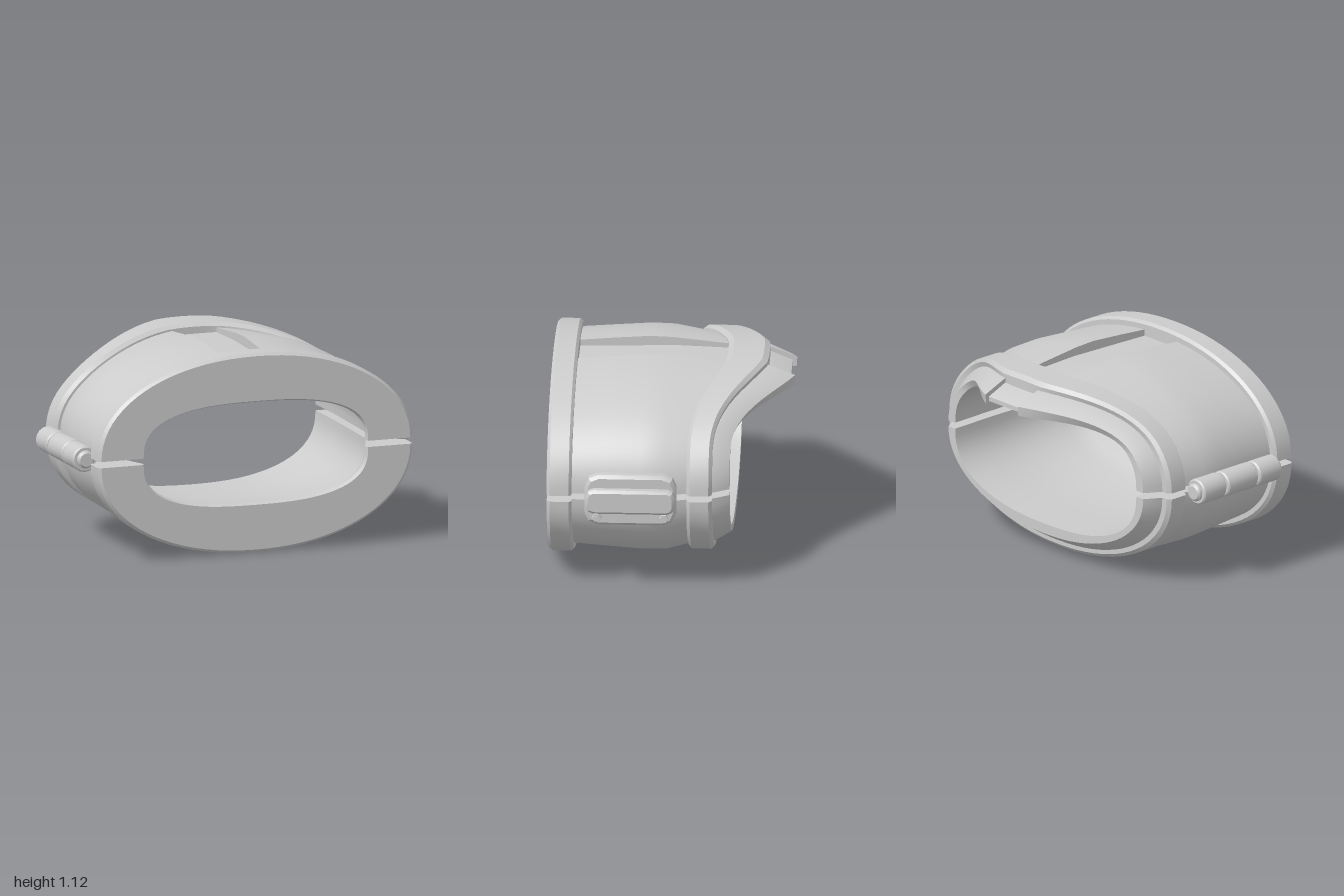
import * as THREE from 'three';
import { toCreasedNormals } from 'three/addons/utils/BufferGeometryUtils.js';

const CX = 0.013;          // centre line of the oval shells
const STRIP = 0.13;        // half width of the sunken top strip
const OUT = 2.1, IN = 2.7; // roundness of the outer and inner ovals
const mat = new THREE.MeshStandardMaterial({ color: 0xcccccc });

function add(group, name, geo, x = 0, y = 0, z = 0) {
  const mesh = new THREE.Mesh(toCreasedNormals(geo, 0.5), mat);
  mesh.name = name;
  mesh.position.set(x, y, z);
  group.add(mesh);
}

// How far the crest sweeps backwards at the top centre, for a given depth z
function sweepAmount(z) {
  if (z >= 0) return 0;
  if (z > -0.1) return -z * 1.9;
  return 0.19 + (-0.1 - z) * 0.635;
}

// Sweeps a closed profile of [rx, ry, z, roundness] around half an oval.
// up: 1 upper half, -1 lower half. side: 0 whole half, 1 or -1 one quarter
// that stops beside the strip.
function ovalSweep(profile, up, side = 0) {
  const segs = side ? 20 : 40, n = profile.length, pos = [], idx = [];
  const base = up > 0 ? 0.58 : 0.545;
  for (let j = 0; j <= segs; j++) {
    for (const [rx, ry, z, e] of profile) {
      const end = side ? Math.acos(Math.pow(STRIP / rx, e / 2)) : Math.PI;
      const a = end * j / segs, c = Math.cos(a);
      const u = Math.sign(c) * Math.pow(Math.abs(c), 2 / e);
      const v = Math.pow(Math.max(0, Math.sin(a)), 2 / e);
      const d = Math.min(1, (1 - THREE.MathUtils.smoothstep(Math.abs(u) * 0.9, 0, 0.82)) / 0.93);
      pos.push(CX + rx * u * (side || 1), base + up * ry * v,
        z - (up > 0 ? sweepAmount(z) * d : 0));
    }
  }
  const flip = up * (side || 1) < 0;
  const tri = (a, b, c) => flip ? idx.push(a, c, b) : idx.push(a, b, c);
  for (let j = 0; j < segs; j++) {
    for (let i = 0; i < n; i++) {
      const k = (i + 1) % n, a = j * n, b = a + n;
      tri(a + i, a + k, b + k);
      tri(a + i, b + k, b + i);
    }
  }
  // Flat caps at both ends
  const flat = profile.map(p => new THREE.Vector2(p[0], p[2]));
  for (let [a, b, c] of THREE.ShapeUtils.triangulateShape(flat, [])) {
    if (THREE.ShapeUtils.area([flat[a], flat[b], flat[c]]) < 0) [b, c] = [c, b];
    tri(a, b, c);
    const o = segs * n;
    tri(o + a, o + c, o + b);
  }
  const geo = new THREE.BufferGeometry();
  geo.setAttribute('position', new THREE.Float32BufferAttribute(pos, 3));
  geo.setIndex(idx);
  return geo;
}

// Plate with cut corners in the side plane, facing +x
function sidePlate(length, height, corner, depth, bevel) {
  const l = length / 2 - bevel, h = height / 2 - bevel, c = corner;
  const shape = new THREE.Shape([
    [l, h - c], [l - c * 0.3, h - c * 0.3], [l - c, h],
    [-l + c, h], [-l + c * 0.3, h - c * 0.3], [-l, h - c],
    [-l, -h + c], [-l + c * 0.3, -h + c * 0.3], [-l + c, -h],
    [l - c, -h], [l - c * 0.3, -h + c * 0.3], [l, -h + c],
  ].map(p => new THREE.Vector2(...p)));
  return new THREE.ExtrudeGeometry(shape, {
    depth: depth - bevel, bevelEnabled: true, bevelThickness: bevel,
    bevelSize: bevel, bevelSegments: 1,
  }).rotateY(Math.PI / 2);
}

// Round bar along z with chamfered ends
function barrel(r, length, sides, chamfer) {
  const h = length / 2;
  return new THREE.LatheGeometry([
    [0, -h], [r - chamfer, -h], [r, -h + chamfer],
    [r, h - chamfer], [r - chamfer, h], [0, h],
  ].map(p => new THREE.Vector2(...p)), sides).rotateX(Math.PI / 2);
}

export function createModel() {
  const model = new THREE.Group();
  model.name = 'armCuff';

  // Main wall with its tapered rear flange and wide bore
  const wall = [
    [0.882, 0.494, 0.55, OUT], [0.89, 0.512, 0.34, OUT], [0.9, 0.526, 0.15, OUT],
    [0.897, 0.522, 0.02, OUT], [0.86, 0.49, -0.1, OUT], [0.84, 0.477, -0.24, OUT],
    [0.785, 0.418, -0.333, OUT],
    [0.73, 0.36, -0.333, 2.4], [0.735, 0.362, -0.1, 2.4], [0.735, 0.362, 0, 2.4],
    [0.728, 0.352, 0.45, 2.4], [0.696, 0.315, 0.53, 2.5], [0.705, 0.325, 0.55, 2.5],
  ];
  // Thick front collar, narrowing the opening
  const collar = [
    [0.908, 0.526, 0.667, OUT], [0.925, 0.541, 0.65, OUT],
    [0.925, 0.541, 0.545, OUT], [0.908, 0.525, 0.53, OUT],
    [0.696, 0.315, 0.53, 2.5], [0.652, 0.264, 0.64, IN], [0.66, 0.274, 0.667, IN],
  ];
  // Raised band in front of the flange
  const band = [
    [0.875, 0.5, -0.1, OUT], [0.897, 0.519, -0.118, OUT],
    [0.897, 0.519, -0.222, OUT], [0.875, 0.5, -0.24, OUT],
    [0.8, 0.44, -0.24, OUT], [0.8, 0.44, -0.1, OUT],
  ];
  for (const [name, up] of [['upper', 1], ['lower', -1]]) {
    add(model, name + 'Collar', ovalSweep(collar, up));
    add(model, name + 'Band', ovalSweep(band, up));
  }
  add(model, 'lowerWall', ovalSweep(wall, -1));
  add(model, 'upperLeftWall', ovalSweep(wall, 1, 1));
  add(model, 'upperRightWall', ovalSweep(wall, 1, -1));

  // Sunken strip along the top, between the two upper walls
  const strip = new THREE.Shape([
    [0.55, 1.035], [0, 1.05], [-0.3, 1.04], [-0.52, 1.025], [-0.64, 0.975],
    [-0.64, 0.95], [-0.3, 0.95], [0, 0.95], [0.45, 0.94], [0.55, 0.905],
  ].map(([z, y]) => new THREE.Vector2(-z, y)));
  add(model, 'topStrip', new THREE.ExtrudeGeometry(strip, {
    depth: STRIP * 2, bevelEnabled: false,
  }).rotateY(Math.PI / 2), CX - STRIP);

  // Clasp on the left side
  const clasp = new THREE.Group();
  clasp.name = 'clasp';
  model.add(clasp);
  add(clasp, 'claspPlate', sidePlate(0.505, 0.295, 0.06, 0.06, 0.018), 0.895, 0.5625, 0.205);
  add(clasp, 'claspLatch', sidePlate(0.49, 0.14, 0.03, 0.06, 0.015), 0.94, 0.568, 0.205);
  for (const z of [0.39, 0.02]) {
    add(clasp, 'claspBolt', new THREE.CylinderGeometry(0.024, 0.032, 0.03, 6)
      .rotateZ(-Math.PI / 2), 0.953, 0.465, z);
    add(clasp, 'claspBoltHead', new THREE.CylinderGeometry(0.014, 0.014, 0.02, 6)
      .rotateZ(-Math.PI / 2), 0.964, 0.465, z);
  }

  // Hinge on the right side: three knuckles on a pin
  const hinge = new THREE.Group();
  hinge.name = 'hinge';
  model.add(hinge);
  for (const [a, b] of [[-0.08, 0.087], [0.103, 0.325], [0.338, 0.5]]) {
    add(hinge, 'hingeKnuckle', barrel(0.073, b - a, 16, 0.008), -0.927, 0.565, (a + b) / 2);
  }
  add(hinge, 'hingePin', barrel(0.05, 0.63, 16, 0.012), -0.927, 0.565, 0.21);
  return model;
}
